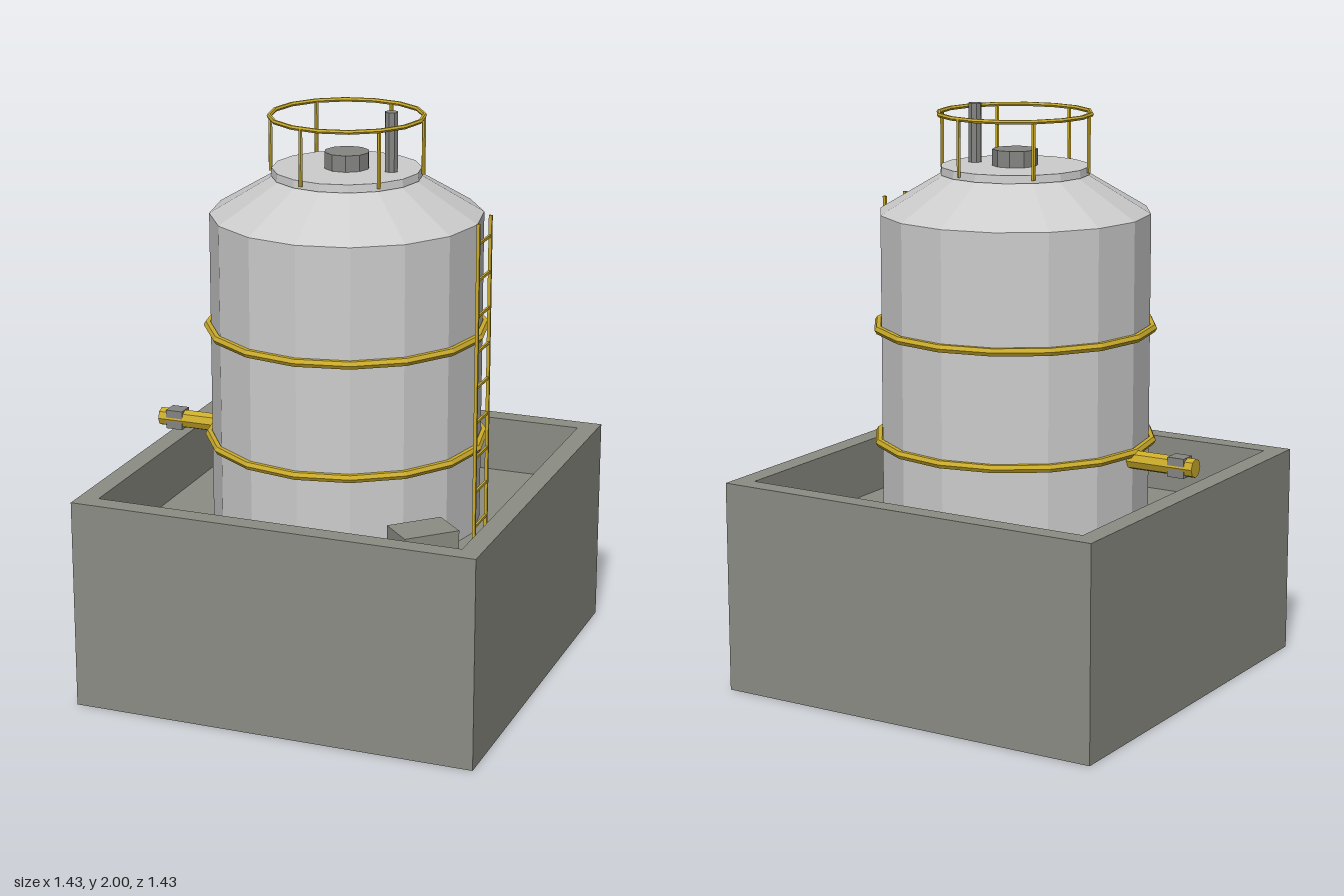
import * as THREE from 'three';

const flat = (name, color) => {
  const m = new THREE.MeshStandardMaterial({ color, flatShading: true });
  m.name = name;
  return m;
};

export function createModel() {
  const concrete = flat('concrete', 0x8c8d84);
  const shell = flat('pale grey shell', 0xcdcdcd);
  const yellow = flat('safety yellow', 0xcbac2b);
  const steel = flat('dark steel', 0x858583);

  const model = new THREE.Group();
  model.name = 'storageTank';
  const add = (parent, name, geometry, material, x = 0, y = 0, z = 0) => {
    const mesh = new THREE.Mesh(geometry, material);
    mesh.name = name;
    mesh.position.set(x, y, z);
    parent.add(mesh);
    return mesh;
  };
  const group = (name) => {
    const g = new THREE.Group();
    g.name = name;
    model.add(g);
    return g;
  };
  // Upright cylinder between two heights, with a corner on the x axis
  const post = (r, y0, y1, sides) =>
    new THREE.CylinderGeometry(r, r, y1 - y0, sides).rotateY(Math.PI / 2).translate(0, (y0 + y1) / 2, 0);
  const ring = (r, tube, sides) => new THREE.TorusGeometry(r, tube, sides, 16).rotateX(Math.PI / 2);

  // Containment basin: square wall frame around a floor slab
  const outer = 0.717, inner = 0.647, rim = 0.74, floor = 0.54;
  const square = (path, h) => path.moveTo(-h, -h).lineTo(h, -h).lineTo(h, h).lineTo(-h, h).closePath();
  const frame = square(new THREE.Shape(), outer);
  frame.holes.push(square(new THREE.Path(), inner));
  const basin = group('basin');
  add(basin, 'basinWalls', new THREE.ExtrudeGeometry(frame, { depth: rim, bevelEnabled: false }).rotateX(-Math.PI / 2), concrete);
  add(basin, 'basinFloor', new THREE.BoxGeometry(2 * inner, floor, 2 * inner), concrete, 0, floor / 2, 0);
  const block = add(basin, 'cornerBlock', new THREE.BoxGeometry(0.198, 0.17, 0.141), concrete, 0.44, floor + 0.085, 0.44);
  block.rotation.y = Math.PI / 4;

  // Tank shell with a sloped shoulder and a flat cap
  const profile = [[0, floor], [0.468, floor], [0.468, 1.64], [0.25, 1.77], [0.258, 1.77], [0.255, 1.797], [0, 1.797]]
    .map(([r, y]) => new THREE.Vector2(r, y));
  add(model, 'tankShell', new THREE.LatheGeometry(profile, 16), shell);

  // Hoops around the shell
  for (const y of [0.85, 1.245]) add(model, 'hoop', ring(0.478, 0.015, 6), yellow, 0, y, 0);

  // Hatch and vent on the cap
  add(model, 'hatch', post(0.078, 1.797, 1.853, 10), steel);
  add(model, 'ventPipe', post(0.023, 1.797, 2, 8), steel, 0.16, 0, 0);

  // Guard rail
  const rail = group('guardRail');
  add(rail, 'handRail', ring(0.262, 0.008, 6), yellow, 0, 1.975, 0);
  for (let i = 0; i < 6; i++) {
    const a = Math.PI / 12 + (i * Math.PI) / 3;
    add(rail, 'railPost', post(0.007, 1.78, 1.975, 6), yellow, 0.26 * Math.cos(a), 0, -0.26 * Math.sin(a));
  }

  // Ladder on the left side
  const ladder = group('ladder');
  for (const z of [-0.064, 0.064]) {
    add(ladder, 'ladderRail', new THREE.BoxGeometry(0.011, 1.66 - floor, 0.01), yellow, 0.493, (1.66 + floor) / 2, z);
  }
  for (let i = 0; i < 9; i++) {
    add(ladder, 'rung', new THREE.BoxGeometry(0.008, 0.009, 0.128), yellow, 0.493, 1.59 - i * 0.1255, 0);
  }

  // Outlet pipe with valve on the right side
  const outlet = group('outlet');
  add(outlet, 'outletPipe', new THREE.CylinderGeometry(0.033, 0.033, 0.26, 8).rotateZ(Math.PI / 2), yellow, -0.58, 0.825, 0);
  add(outlet, 'valve', new THREE.BoxGeometry(0.062, 0.068, 0.061), steel, -0.649, 0.825, 0);

  return model;
}
